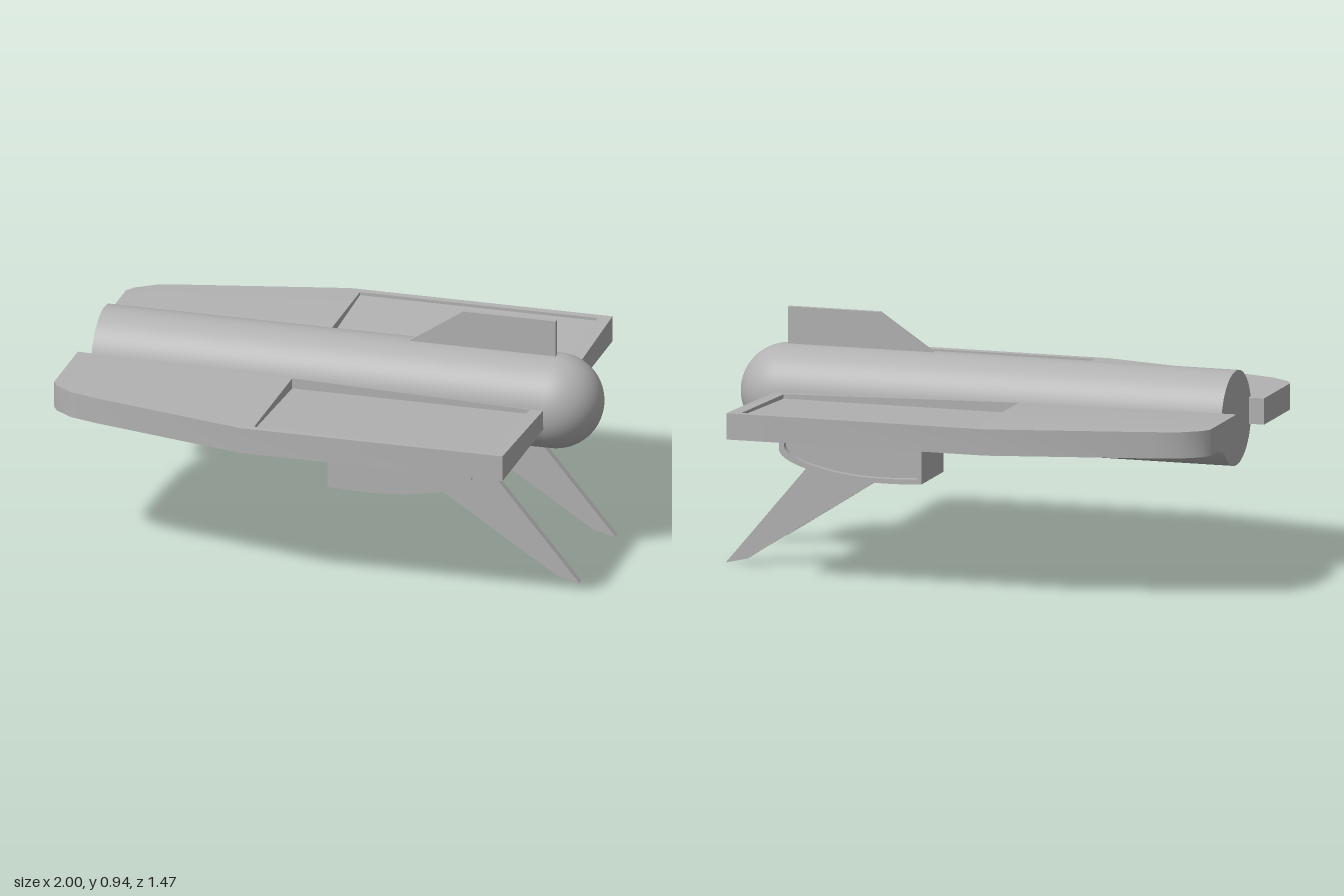
import * as THREE from 'three';
import { toCreasedNormals } from 'three/addons/utils/BufferGeometryUtils.js';

const grey = new THREE.MeshStandardMaterial({ color: 0xb2b2b2 });
grey.name = 'hull grey';

function part(name, geometry) {
  const mesh = new THREE.Mesh(geometry, grey);
  mesh.name = name;
  return mesh;
}

const points = (list) => list.map(([x, y]) => new THREE.Vector2(x, y));

// Side profile in x and y, extruded from z0 to z1
function plate(shape, z0, z1) {
  const g = new THREE.ExtrudeGeometry(shape, { depth: z1 - z0, bevelEnabled: false, curveSegments: 16 });
  g.translate(0, 0, z0);
  return toCreasedNormals(g, 0.5);
}

// Pod profile: upright nose, flat belly, rounded tail; inset shrinks it
function podPoints(inset) {
  const x0 = 0.1 + inset, x1 = 0.66 - inset, y0 = 0.41 + inset, y1 = 0.575 - inset;
  const list = [[x0, y1], [x0, y0 + 0.005], [x0 + 0.1, y0]];
  const belly = new THREE.CubicBezierCurve(
    ...points([[x0 + 0.15, y0], [0.46, y0], [x1 - 0.01, y0 + 0.05], [x1, y0 + 0.1]]));
  return [...points(list), ...belly.getPoints(16), new THREE.Vector2(x1, y1)];
}

// Wing slab with a sunken deck whose floor drops towards the hull
function wing(side) {
  const group = new THREE.Group();
  group.name = side > 0 ? 'leftWing' : 'rightWing';
  const flip = (list) => points(list.map(([x, z]) => [x, z * side]));
  const shape = new THREE.Shape(flip([
    [-1, 0.165], [-1, 0.48], [-0.98, 0.515], [-0.91, 0.565], [-0.8, 0.598],
    [-0.2, 0.737], [0.82, 0.737], [0.82, 0.165]]));
  shape.holes.push(new THREE.Path(flip([[-0.155, 0.2], [0.77, 0.2], [0.77, 0.707], [-0.155, 0.707]])));
  const slab = new THREE.ExtrudeGeometry(shape, { depth: 0.1, bevelEnabled: false });
  slab.rotateX(Math.PI / 2).translate(0, 0.67, 0);
  const p = slab.attributes.position;
  for (let i = 0; i < p.count; i++) {
    // rear rim dips towards the hull
    if (p.getX(i) > 0.76 && p.getY(i) > 0.6) {
      p.setY(i, 0.67 - 0.025 * (0.737 - Math.abs(p.getZ(i))) / 0.57);
    }
  }
  slab.computeVertexNormals();
  group.add(part('wingSlab', toCreasedNormals(slab, 0.5)));

  const floor = new THREE.BoxGeometry(0.925, 0.08, 0.507).toNonIndexed();
  floor.translate(0.3075, 0.61, side * 0.4535);
  const q = floor.attributes.position;
  for (let i = 0; i < q.count; i++) {
    if (q.getY(i) > 0.6) q.setY(i, Math.abs(q.getZ(i)) > 0.45 ? 0.658 : 0.63);
  }
  floor.computeVertexNormals();
  group.add(part('sunkenDeck', floor));
  return group;
}

export function createModel() {
  const model = new THREE.Group();
  model.name = 'spacecraft';

  // Round hull along x with a domed tail
  const hull = new THREE.Group();
  hull.name = 'hull';
  hull.position.set(0, 0.62, 0.015);
  hull.add(part('hullTube', new THREE.CylinderGeometry(0.18, 0.18, 1.76, 64).rotateZ(-Math.PI / 2).translate(-0.06, 0, 0)));
  hull.add(part('hullDome', new THREE.SphereGeometry(0.18, 64, 16, 0, Math.PI * 2, 0, Math.PI / 2)
    .rotateZ(-Math.PI / 2).translate(0.82, 0, 0)));
  model.add(hull);

  // Upright fin on top
  const fin = new THREE.Shape(points([[0.175, 0.75], [0.82, 0.75], [0.82, 0.94], [0.46, 0.94]]));
  model.add(part('topFin', plate(fin, 0.005, 0.024)));

  for (const side of [1, -1]) {
    model.add(wing(side));

    // Swept landing fin
    const leg = new THREE.Shape(points([[0.04, 0.575], [0.9, 0.02], [0.985, 0], [0.6, 0.46], [0.51, 0.575]]));
    const legZ = side > 0 ? 0.245 : -0.24;
    model.add(part('landingFin', plate(leg, legZ, legZ + 0.028)));

    // Under-wing pod with a recessed panel on its back side
    const podZ = side > 0 ? 0.335 : -0.59;
    const rim = new THREE.Shape(podPoints(0));
    rim.holes.push(new THREE.Path(podPoints(0.018)));
    const pod = new THREE.Group();
    pod.name = 'underwingPod';
    pod.add(part('podBody', plate(new THREE.Shape(podPoints(0)), podZ + 0.025, podZ + 0.265)));
    pod.add(part('podRim', plate(rim, podZ, podZ + 0.025)));
    model.add(pod);
  }
  return model;
}
